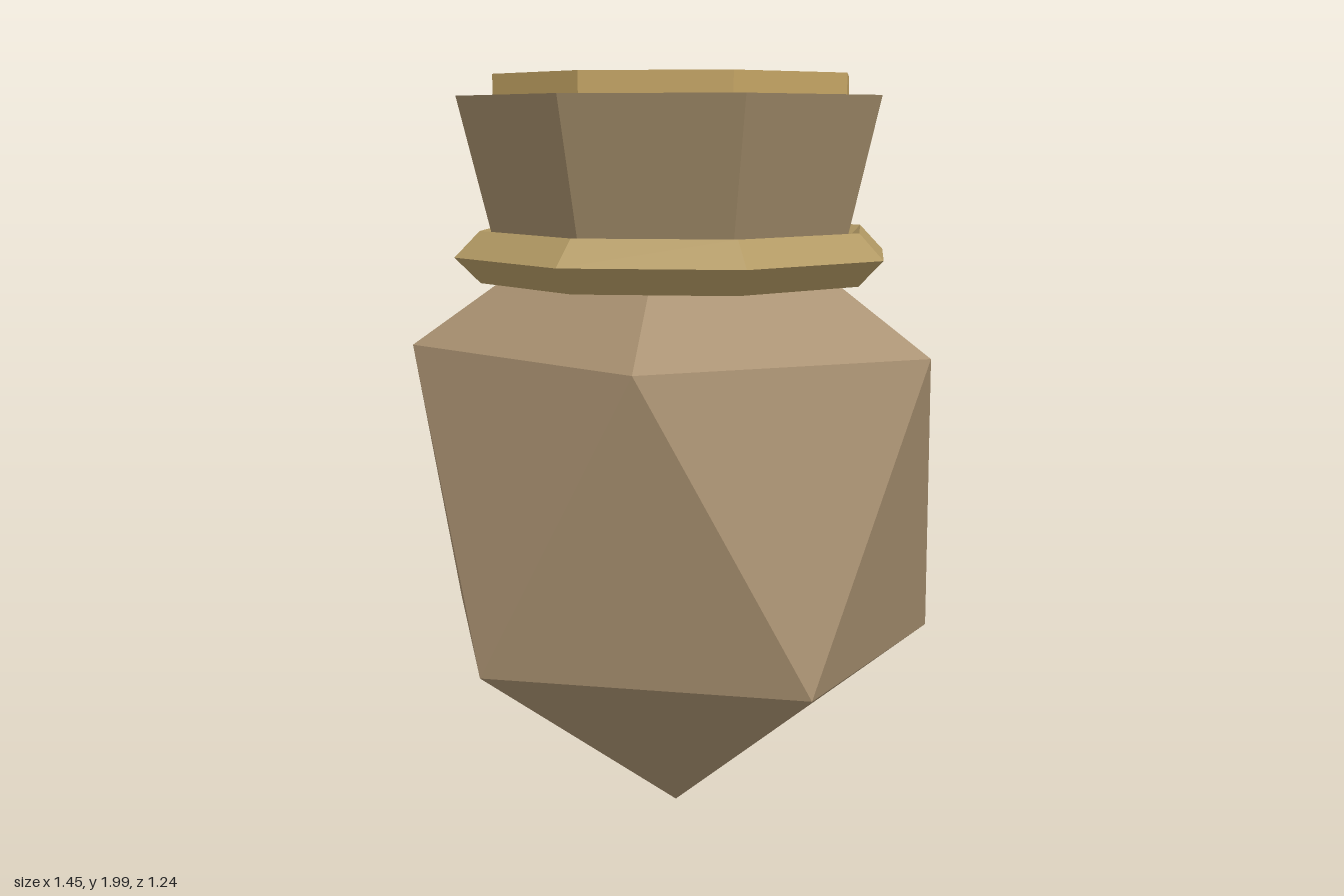
import * as THREE from 'three';

export function createModel() {
  const group = new THREE.Group();
  const SIDES = 8;

  function add(name, geometry, color, y) {
    const material = new THREE.MeshStandardMaterial({ color, flatShading: true });
    const mesh = new THREE.Mesh(geometry, material);
    mesh.name = name;
    mesh.position.y = y;
    group.add(mesh);
  }

  // Faceted belly: an icosahedron stood on one vertex, slimmer in x and z
  const golden = (1 + Math.sqrt(5)) / 2;
  const belly = new THREE.IcosahedronGeometry(0.894, 0);
  belly.rotateZ(-Math.atan(1 / golden));
  belly.scale(0.905, 1, 0.815);
  add('body', belly, 0xa89070, 0.9);

  // Collar ring with a diamond cross-section
  const collar = new THREE.TorusGeometry(0.525, 0.067, 4, SIDES);
  collar.rotateX(Math.PI / 2);
  add('collarRing', collar, 0xb39a64, 1.538);

  // Flared neck
  add('neck', new THREE.CylinderGeometry(0.58, 0.47, 0.445, SIDES), 0xa08a68, 1.7225);

  // Stopper set into the mouth
  add('stopper', new THREE.CylinderGeometry(0.485, 0.485, 0.15, SIDES), 0xc4a464, 1.925);

  return group;
}
